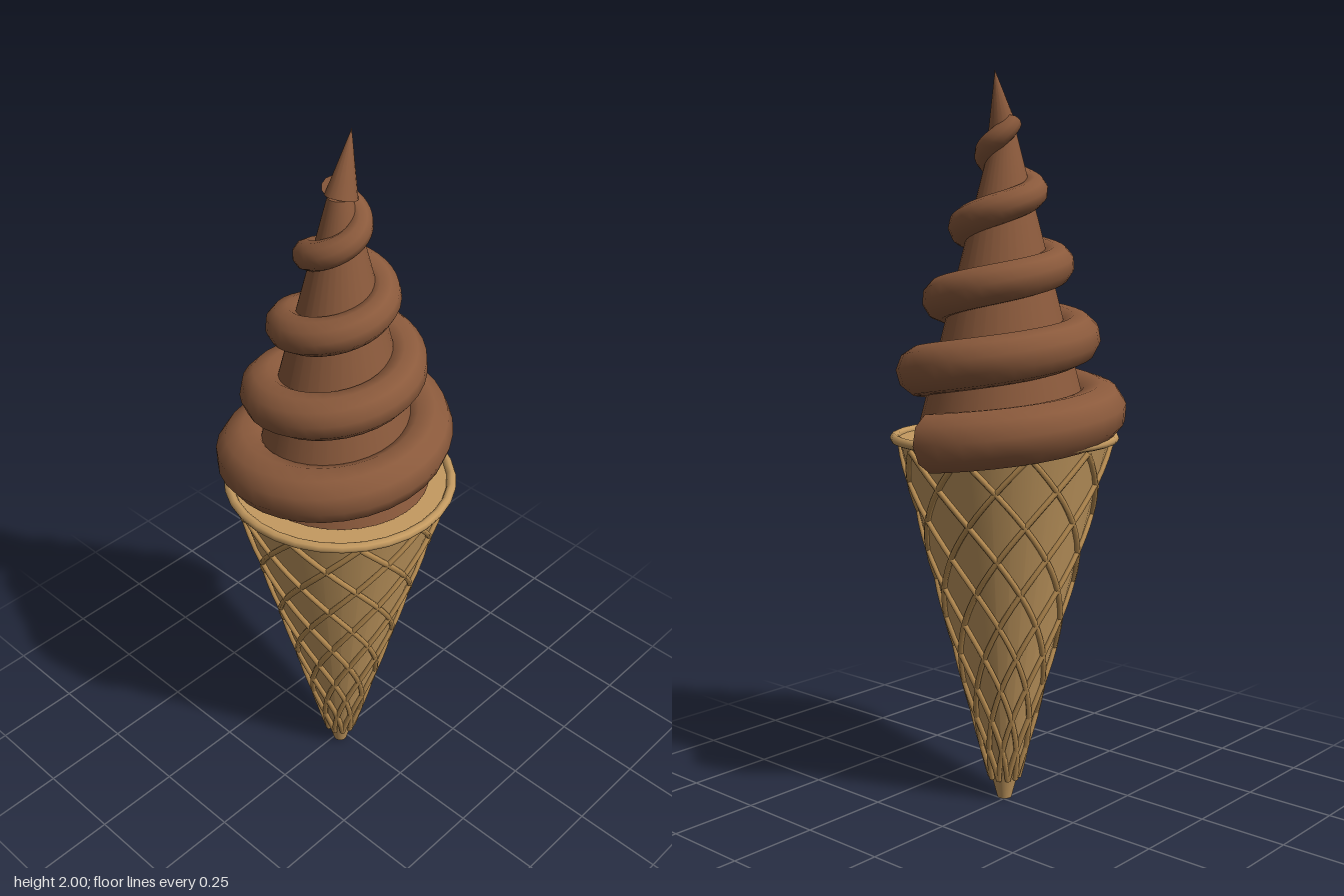
import * as THREE from 'three';

const material = (name, color) => {
  const m = new THREE.MeshStandardMaterial({ color });
  m.name = name;
  return m;
};
const wafer = material('wafer', 0xc49a60);
const waferRidge = material('waferRidge', 0xb88d52);
const chocolate = material('chocolate', 0x8b5a3c);

const CONE_TOP = 1.03, CONE_R0 = 0.02, CONE_R1 = 0.29;
const coneRadius = (y) => CONE_R0 + (CONE_R1 - CONE_R0) * y / CONE_TOP;

// Curve from a function of t, sampled evenly in t rather than in length
class RuleCurve extends THREE.Curve {
  constructor(rule) { super(); this.rule = rule; }
  getPoint(t, target = new THREE.Vector3()) { return this.rule(t, target); }
  getUtoTmapping(u) { return u; }
}

export function createModel() {
  const model = new THREE.Group();
  model.name = 'softServeCone';
  const body = new THREE.Group();
  body.name = 'body';
  body.position.set(-0.018, 0, 0.012);
  model.add(body);

  const add = (name, geometry, mat, parent = body) => {
    const mesh = new THREE.Mesh(geometry, mat);
    mesh.name = name;
    parent.add(mesh);
    return mesh;
  };

  // Wafer cone with a rolled rim
  add('waferCone', new THREE.CylinderGeometry(CONE_R1, CONE_R0, CONE_TOP, 32), wafer)
    .position.y = CONE_TOP / 2;
  const rim = add('waferRim', new THREE.TorusGeometry(0.3, 0.013, 8, 32), wafer);
  rim.rotation.x = Math.PI / 2;
  rim.position.y = CONE_TOP;

  // Crossed spiral ridges running both ways down the cone
  const lattice = new THREE.Group();
  lattice.name = 'waferLattice';
  body.add(lattice);
  const strands = 10;
  for (let i = 0; i < strands; i++) {
    for (const way of [-1, 1]) {
      const path = new RuleCurve((t, p) => {
        const y = 0.06 + 0.95 * t;
        const a = Math.PI / 2 + i / strands * Math.PI * 2 + way * (1 - t) * Math.PI;
        const r = coneRadius(y) + 0.004;
        return p.set(r * Math.cos(a), y, r * Math.sin(a));
      });
      add('latticeRidge', new THREE.TubeGeometry(path, 30, 0.008, 6), waferRidge, lattice);
    }
  }

  // Core inside the swirl
  add('swirlCore', new THREE.CylinderGeometry(0.03, 0.24, 0.81, 32), chocolate)
    .position.y = 1.04 + 0.405;

  // Tapering swirl rope
  const turns = 4.25, segments = 136, sides = 10, rope = 0.08;
  const ropeRadius = (t) => rope - 0.0125 * turns * t;
  const spiral = new RuleCurve((t, p) => {
    const n = turns * t, a = n * Math.PI * 2, r = 0.278 - 0.0595 * n;
    return p.set(r * Math.cos(a), 1.04 + 0.195 * n, -r * Math.sin(a));
  });
  const swirl = new THREE.TubeGeometry(spiral, segments, rope, sides);
  const pos = swirl.attributes.position;
  const v = new THREE.Vector3(), c = new THREE.Vector3();
  for (let i = 0; i < pos.count; i++) {
    const t = Math.floor(i / (sides + 1)) / segments;
    spiral.getPoint(t, c);
    v.fromBufferAttribute(pos, i).sub(c).multiplyScalar(ropeRadius(t) / rope).add(c);
    pos.setXYZ(i, v.x, v.y, v.z);
  }
  add('swirl', swirl, chocolate);

  // Flat ends of the rope
  for (const [t, way] of [[0, -1], [1, 1]]) {
    const end = add('swirlEnd', new THREE.CircleGeometry(ropeRadius(t), sides), chocolate);
    end.position.copy(spiral.getPoint(t));
    end.quaternion.setFromUnitVectors(
      new THREE.Vector3(0, 0, 1), spiral.getTangent(t).multiplyScalar(way));
  }

  // Leaning peak
  const base = new THREE.Vector3(-0.011, 1.845, 0.01);
  const apex = new THREE.Vector3(0.032, 2.0, 0.002);
  const axis = apex.clone().sub(base);
  const tip = add('swirlTip', new THREE.ConeGeometry(0.041, axis.length(), 16), chocolate, model);
  tip.position.copy(base).add(apex).multiplyScalar(0.5);
  tip.quaternion.setFromUnitVectors(new THREE.Vector3(0, 1, 0), axis.normalize());

  return model;
}
